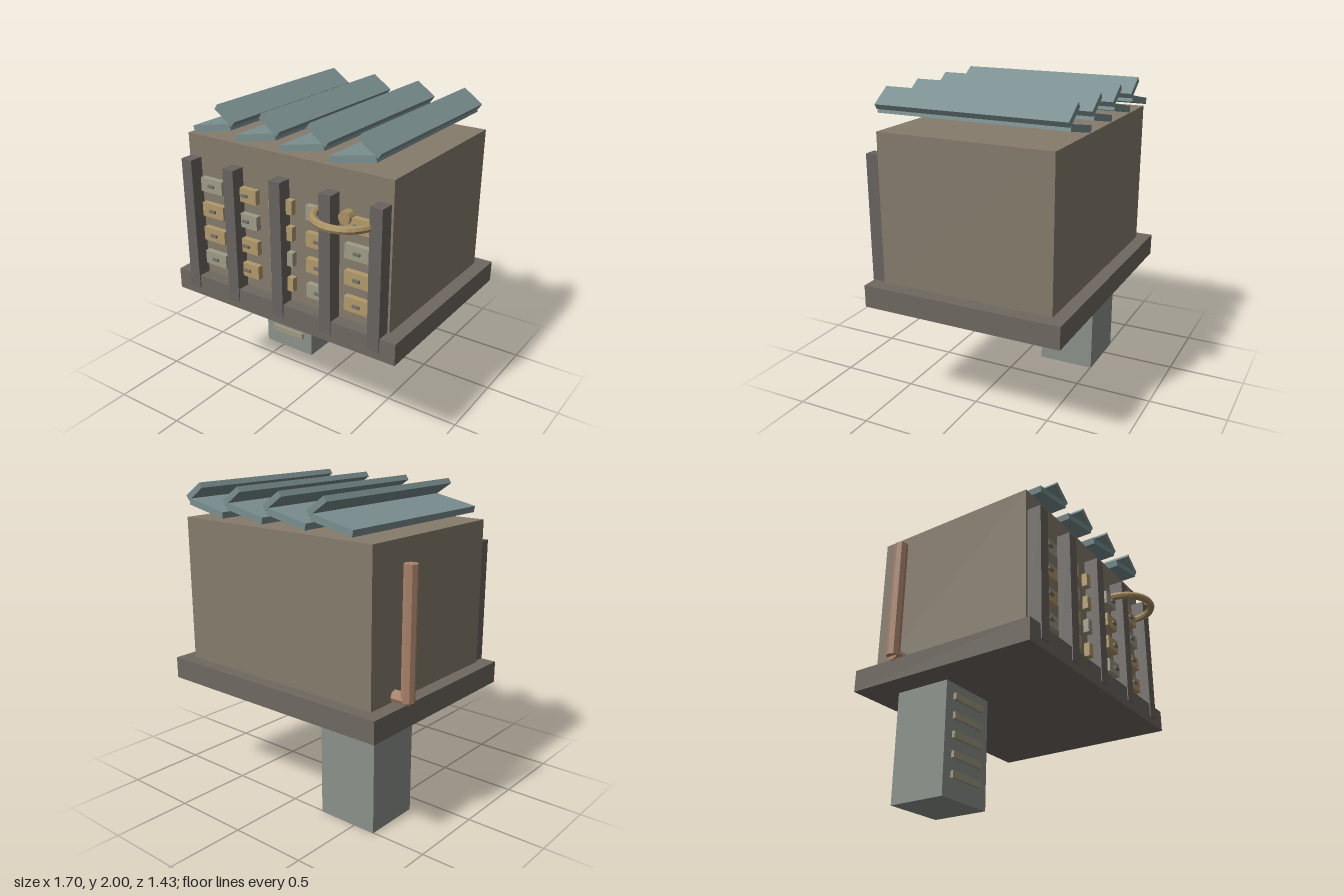
import * as THREE from 'three';

const mat = (color) => new THREE.MeshStandardMaterial({ color, flatShading: true });

export function createModel() {
  const model = new THREE.Group();
  const stone = mat(0x6e6860), wall = mat(0x857b6c), post = mat(0x68635f);
  const roof = mat(0x7a8e8f), concrete = mat(0x8b918a), slat = mat(0x9f9a82);
  const tan = mat(0xb0986a), grey = mat(0x9e9b87), dark = mat(0x77726a);
  const copper = mat(0xa9836b), brass = mat(0xa88f62);

  const add = (name, geometry, material, x = 0, y = 0, z = 0, parent = model) => {
    const mesh = new THREE.Mesh(geometry, material);
    mesh.name = name;
    mesh.position.set(x, y, z);
    parent.add(mesh);
    return mesh;
  };
  // Box given by its lower and upper limits on each axis
  const box = (name, material, x0, x1, y0, y1, z0, z1, parent) =>
    add(name, new THREE.BoxGeometry(x1 - x0, y1 - y0, z1 - z0), material,
      (x0 + x1) / 2, (y0 + y1) / 2, (z0 + z1) / 2, parent);

  // Main masses
  box('basePlate', stone, -0.81, 0.85, 0.7, 0.84, -0.72, 0.56);
  box('body', wall, -0.72, 0.76, 0.84, 1.77, -0.635, 0.475);
  box('supportPillar', concrete, -0.645, -0.24, 0, 0.7, -0.505, -0.13);

  // Horizontal slats on the pillar front
  for (let i = 0; i < 5; i++) {
    const y = 0.14 + i * 0.119;
    box('pillarSlat', slat, -0.578, -0.31, y - 0.021, y + 0.021, -0.14, -0.11);
  }

  // Upright posts across the front
  for (const x of [-0.665, -0.33, 0.02, 0.372, 0.706])
    box('frontPost', post, x - 0.04, x + 0.04, 0.75, 1.63, 0.465, 0.567);

  // Grid of small drawers with pulls
  for (let row = 0; row < 4; row++) {
    for (let col = 0; col < 5; col++) {
      const drawer = new THREE.Group();
      drawer.name = 'drawer';
      drawer.position.set(-0.52 + col * 0.269, 1.467 - row * 0.167, 0.475);
      const face = (col - row + 3) % 3 === 0 ? grey : tan;
      box('drawerFace', face, -0.085, 0.085, -0.045, 0.045, -0.02, 0.038, drawer);
      box('drawerPull', dark, -0.023, 0.023, -0.009, 0.009, 0.03, 0.05, drawer);
      model.add(drawer);
    }
  }

  // Ring handle and its mounting boss
  const ring = add('ringHandle', new THREE.TorusGeometry(0.188, 0.025, 8, 32), brass, 0.48, 1.505, 0.502);
  ring.rotation.x = Math.PI / 2;
  const boss = add('ringBoss', new THREE.CylinderGeometry(0.04, 0.04, 0.08, 10), brass, 0.48, 1.505, 0.495);
  boss.rotation.x = Math.PI / 2;

  // Side pipe with a short stub into the wall
  add('sidePipe', new THREE.CylinderGeometry(0.042, 0.042, 0.79, 8), copper, -0.813, 1.255, -0.418);
  const stub = add('pipeStub', new THREE.CylinderGeometry(0.04, 0.04, 0.12, 8), copper, -0.76, 0.872, -0.418);
  stub.rotation.z = Math.PI / 2;

  // Louvred roof: a shallow panel and a steep lip per bay
  for (let i = 0; i < 4; i++) {
    const bay = new THREE.Group();
    bay.name = 'roofBay';
    bay.position.set(i * 0.3335, 0, -0.08);
    add('roofPanel', new THREE.BoxGeometry(0.3, 0.04, 1.2), roof, -0.477, 1.85, 0, bay).rotation.z = 0.2;
    add('roofLip', new THREE.BoxGeometry(0.153, 0.037, 1.2), roof, -0.373, 1.941, 0, bay).rotation.z = -0.605;
    model.add(bay);
  }
  return model;
}
